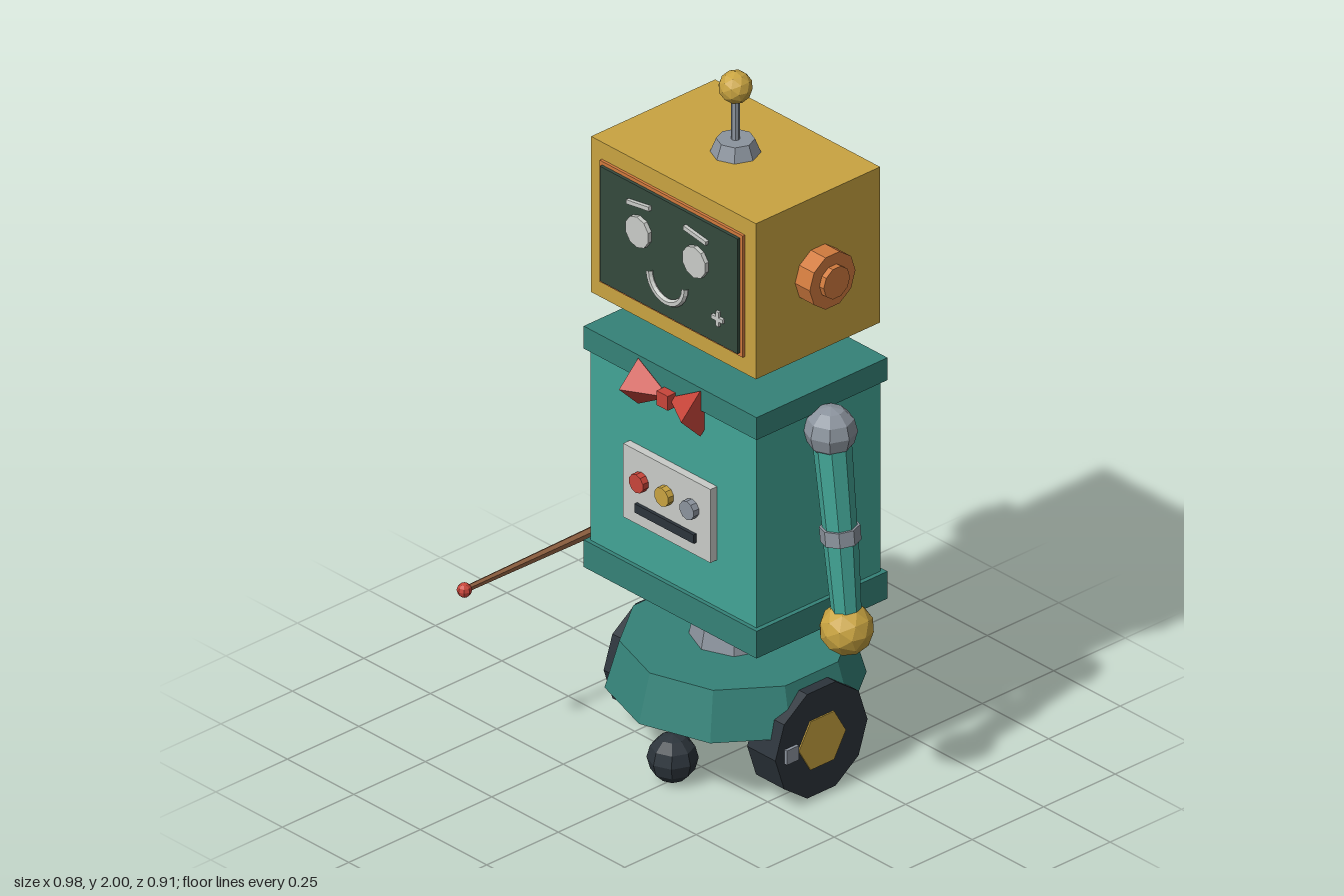
import * as THREE from 'three';

const mat = (name, color) => {
  const m = new THREE.MeshStandardMaterial({ color });
  m.name = name;
  return m;
};

export function createModel() {
  const teal = mat('teal', 0x42a596);
  const darkTeal = mat('dark teal', 0x358278);
  const gold = mat('gold', 0xc9a441);
  const orange = mat('orange', 0xd07a3e);
  const screenGreen = mat('screen green', 0x34493d);
  const white = mat('off white', 0xc9ccc8);
  const grey = mat('metal grey', 0x8c949e);
  const dark = mat('rubber black', 0x2c343b);
  const red = mat('red', 0xc8453a);
  const brown = mat('wood brown', 0x8f6040);

  const robot = new THREE.Group();
  robot.name = 'robot';
  const CZ = -0.12; // depth of the body axis

  // Adds a faceted mesh
  const add = (parent, name, geo, material, x = 0, y = 0, z = 0) => {
    const g = geo.index ? geo.toNonIndexed() : geo;
    g.computeVertexNormals();
    const mesh = new THREE.Mesh(g, material);
    mesh.name = name;
    mesh.position.set(x, y, z);
    parent.add(mesh);
    return mesh;
  };
  const box = (w, h, d) => new THREE.BoxGeometry(w, h, d);
  const cyl = (rTop, rBottom, h, n = 8) => new THREE.CylinderGeometry(rTop, rBottom, h, n);
  const ball = (r) => new THREE.IcosahedronGeometry(r, 1);
  // Cylinder between two points
  const rod = (parent, name, a, b, rA, rB, material, n = 8) => {
    const dir = b.clone().sub(a);
    const mid = a.clone().add(b).multiplyScalar(0.5);
    const mesh = add(parent, name, cyl(rB, rA, dir.length(), n), material, mid.x, mid.y, mid.z);
    mesh.quaternion.setFromUnitVectors(new THREE.Vector3(0, 1, 0), dir.normalize());
    return mesh;
  };
  const group = (name) => {
    const g = new THREE.Group();
    g.name = name;
    robot.add(g);
    return g;
  };

  // Base with waist and caster
  const base = group('base');
  add(base, 'baseSkirt', cyl(0.3, 0.338, 0.135, 10), darkTeal, 0, 0.2775, CZ);
  add(base, 'waist', cyl(0.088, 0.121, 0.16), grey, 0, 0.42, CZ);
  add(base, 'casterBall', new THREE.SphereGeometry(0.067, 8, 6), dark, 0, 0.067, 0.1);

  // Wheels, each with a through hub and a marker block
  for (const s of [1, -1]) {
    const wheel = group(s > 0 ? 'leftWheel' : 'rightWheel');
    wheel.position.set(s * 0.27, 0.166, CZ);
    add(wheel, 'tyre', cyl(0.161, 0.161, 0.106, 10).rotateZ(Math.PI / 2), dark);
    add(wheel, 'hub', cyl(0.082, 0.082, 0.114, 6).rotateZ(Math.PI / 2), gold);
    add(wheel, 'wheelMarker', box(0.124, 0.042, 0.042), grey, 0, 0, 0.108);
  }

  // Torso
  const torso = group('torso');
  add(torso, 'torsoBox', box(0.624, 0.66, 0.434), teal, 0, 0.85, CZ);
  add(torso, 'lowerBand', box(0.65, 0.08, 0.458), darkTeal, 0, 0.535, CZ);
  add(torso, 'upperBand', box(0.65, 0.066, 0.458), darkTeal, 0, 1.171, CZ);

  // Control panel
  const panel = group('controlPanel');
  add(panel, 'panelPlate', box(0.328, 0.216, 0.025), white, 0, 0.822, 0.108);
  add(panel, 'slot', box(0.222, 0.026, 0.012), dark, 0, 0.765, 0.124);
  [red, gold, grey].forEach((m, i) =>
    add(panel, 'button', cyl(0.027, 0.027, 0.024, 10).rotateX(Math.PI / 2), m, (i - 1) * 0.095, 0.847, 0.128));

  // Bow tie
  const bow = group('bowTie');
  bow.position.set(0, 1.13, 0.112);
  add(bow, 'knot', box(0.042, 0.042, 0.05), red);
  for (const s of [1, -1])
    add(bow, 'bowWing', new THREE.ConeGeometry(0.067, 0.117, 4).rotateZ(s * Math.PI / 2), red, s * 0.0585);

  // Arms
  for (const s of [1, -1]) {
    const arm = group(s > 0 ? 'leftArm' : 'rightArm');
    const at = (x, y) => new THREE.Vector3(s * x, y, CZ);
    add(arm, 'shoulder', new THREE.SphereGeometry(0.07, 8, 6), grey, s * 0.358, 1.092, CZ);
    rod(arm, 'upperArm', at(0.362, 1.07), at(0.394, 0.805), 0.051, 0.045, teal);
    rod(arm, 'elbow', at(0.3915, 0.826), at(0.3965, 0.784), 0.053, 0.053, grey);
    rod(arm, 'forearm', at(0.394, 0.805), at(0.42, 0.55), 0.047, 0.038, teal);
    add(arm, 'hand', ball(0.072), gold, s * 0.418, 0.535, CZ);
  }

  // Pointer held in the right hand
  const pointer = group('pointer');
  rod(pointer, 'pointerStick', new THREE.Vector3(-0.422, 0.513, CZ),
    new THREE.Vector3(-0.422, 0.513, 0.43), 0.015, 0.009, brown, 6);
  add(pointer, 'pointerTip', new THREE.SphereGeometry(0.02, 8, 6), red, -0.422, 0.513, 0.436);

  // Head, neck and antenna
  const head = group('head');
  add(head, 'neck', cyl(0.067, 0.067, 0.12), grey, 0, 1.255, CZ);
  add(head, 'headBox', box(0.62, 0.458, 0.434), gold, 0, 1.535, CZ);
  add(head, 'antennaCollar', cyl(0.05, 0.066, 0.04), grey, 0, 1.783, CZ);
  add(head, 'antennaStem', cyl(0.012, 0.012, 0.14), grey, 0, 1.86, CZ);
  add(head, 'antennaBall', ball(0.045), gold, 0, 1.955, CZ);
  for (const s of [1, -1]) {
    add(head, 'earDisc', cyl(0.08, 0.08, 0.07, 10).rotateZ(Math.PI / 2), orange, s * 0.33, 1.536, CZ);
    add(head, 'earCap', cyl(0.046, 0.046, 0.04, 10).rotateZ(Math.PI / 2), orange, s * 0.361, 1.536, CZ);
  }

  // Face
  const face = group('face');
  add(face, 'screenFrame', box(0.538, 0.358, 0.02), orange, 0, 1.535, 0.095);
  add(face, 'screen', box(0.518, 0.338, 0.02), screenGreen, 0, 1.535, 0.104);
  const FZ = 0.118;
  for (const s of [1, -1]) {
    add(face, 'eye', cyl(0.045, 0.045, 0.016, 10).rotateX(Math.PI / 2), white, s * 0.107, 1.577, FZ);
    add(face, 'eyebrow', box(0.086, 0.012, 0.012), white, s * 0.107, 1.655, FZ).rotation.z = -s * 0.15;
  }
  add(face, 'smile', new THREE.TorusGeometry(0.067, 0.01, 6, 12, Math.PI).rotateZ(Math.PI), white, 0, 1.481, FZ);
  add(face, 'cheekMarkBar', box(0.042, 0.012, 0.009), white, 0.19, 1.443, FZ);
  add(face, 'cheekMarkPost', box(0.012, 0.042, 0.008), white, 0.19, 1.443, FZ);

  return robot;
}
